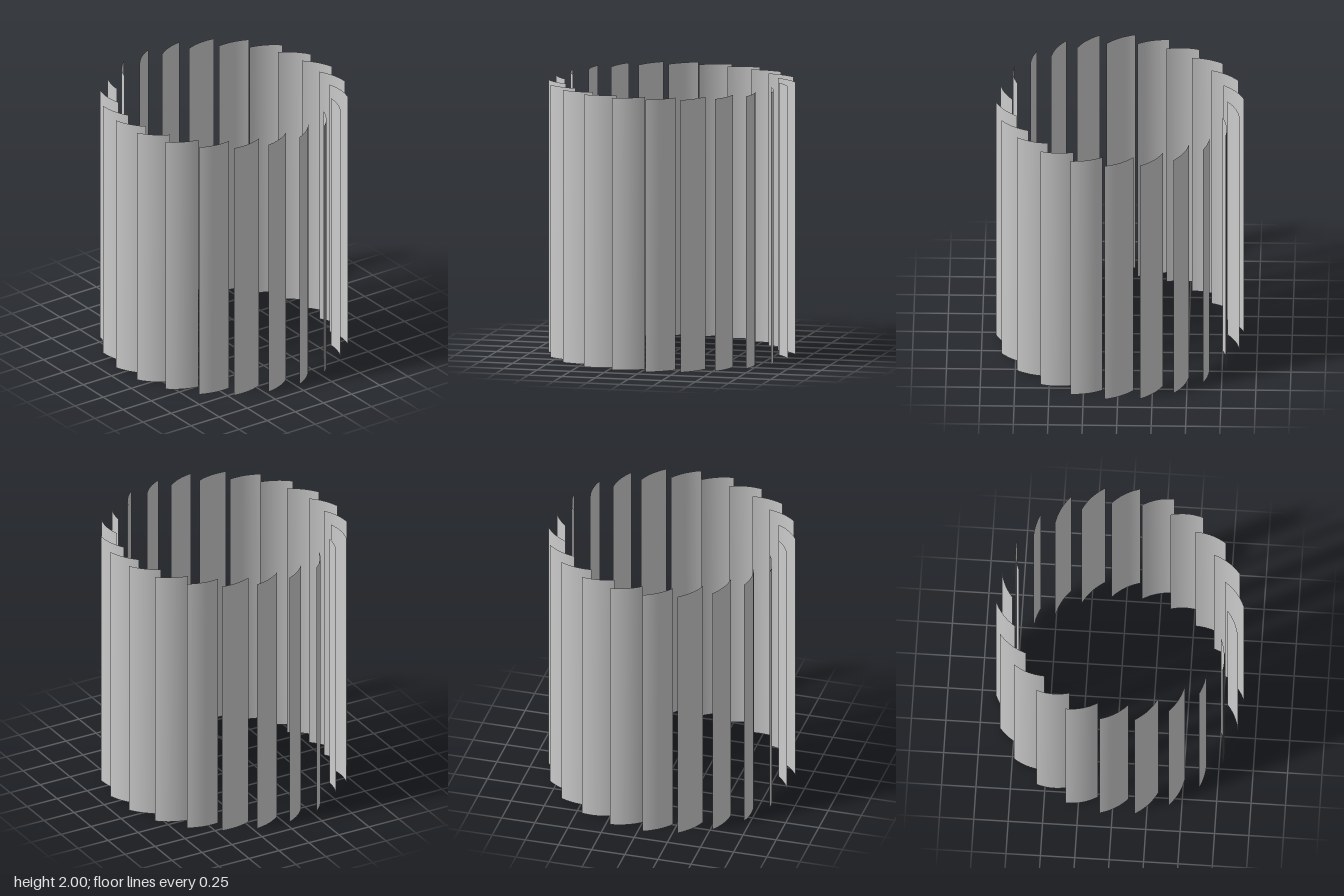
import * as THREE from 'three';

const COUNT = 22, HEIGHT = 2, SEGMENTS = 12;
const STEP = (Math.PI * 2) / COUNT;

// Point on the ground plan; angle runs from +z towards +x
const polar = (r, a) => new THREE.Vector2(r * Math.sin(a), r * Math.cos(a));

// Curved upright sheet from the outer tip to the inner tip, open at both ends
function bladeGeometry() {
  const outer = polar(0.9, THREE.MathUtils.degToRad(-6));
  const inner = polar(0.78, STEP / 2);
  const chord = inner.clone().sub(outer);
  const normal = new THREE.Vector2(-chord.y, chord.x).normalize();
  const sag = 0.018;
  const geo = new THREE.PlaneGeometry(1, HEIGHT, SEGMENTS, 1);
  const pos = geo.attributes.position;
  for (let i = 0; i < pos.count; i++) {
    const t = pos.getX(i) + 0.5;
    const p = outer.clone().addScaledVector(chord, t)
      .addScaledVector(normal, 4 * sag * t * (1 - t));
    pos.setXYZ(i, p.x, pos.getY(i) + HEIGHT / 2, p.y);
  }
  geo.computeVertexNormals();
  return geo;
}

export function createModel() {
  const model = new THREE.Group();
  model.name = 'bladeRing';
  const material = new THREE.MeshStandardMaterial({ color: 0xcccccc, side: THREE.DoubleSide });
  const geometry = bladeGeometry();

  // Ring of identical blades
  for (let i = 0; i < COUNT; i++) {
    const blade = new THREE.Mesh(geometry, material);
    blade.name = `blade${i + 1}`;
    blade.rotation.y = i * STEP;
    model.add(blade);
  }
  return model;
}
